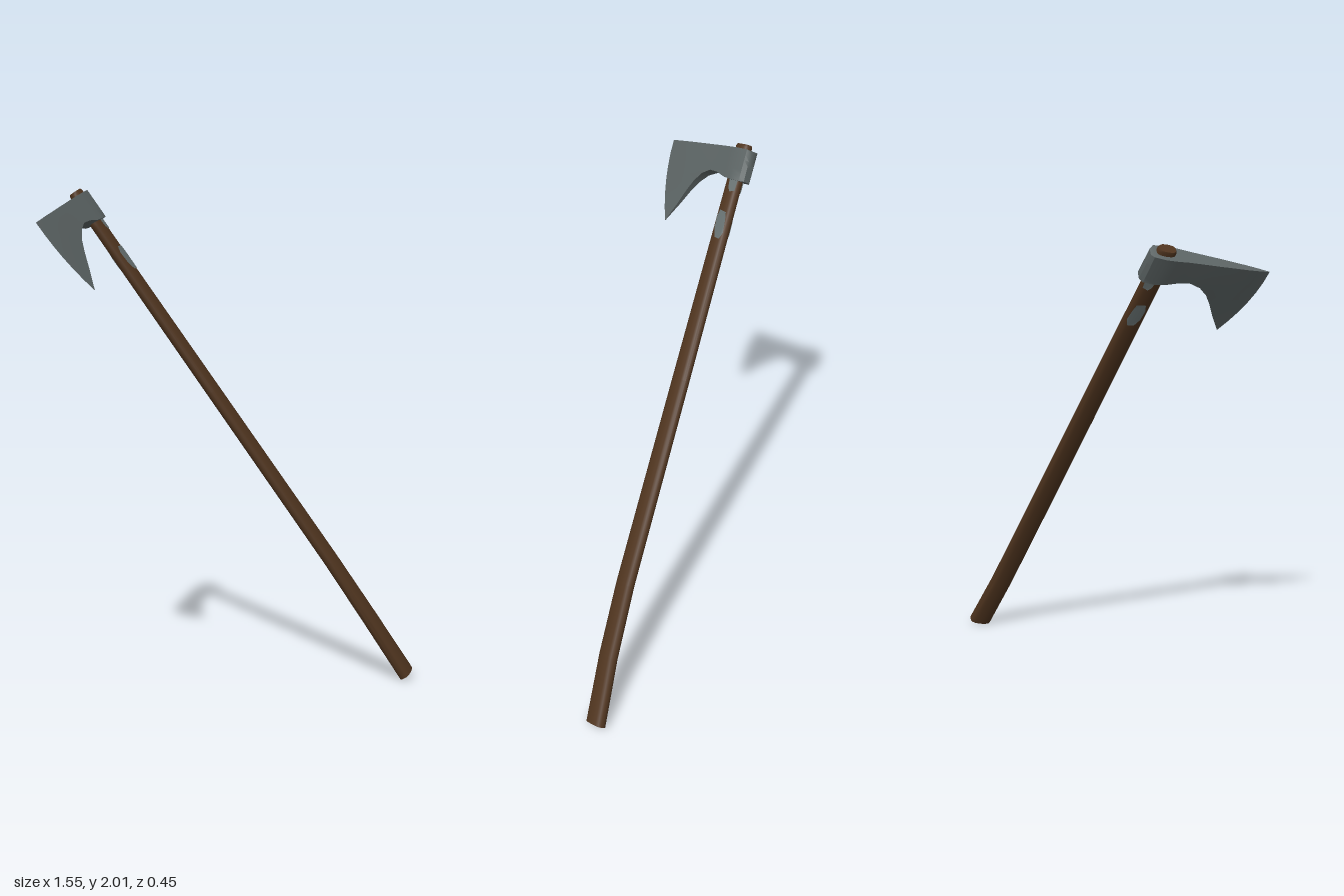
import * as THREE from 'three';
import { toCreasedNormals } from 'three/addons/utils/BufferGeometryUtils.js';

const flat = (name, color, side = THREE.FrontSide) => {
  const m = new THREE.MeshStandardMaterial({ color, side });
  m.name = name;
  return m;
};

// Skin a list of closed rings (each an array of [x, y, z]) and cap both ends.
function loft(rings, crease) {
  const n = rings[0].length, pos = [], idx = [];
  rings.forEach(r => r.forEach(p => pos.push(...p)));
  for (let i = 0; i < rings.length - 1; i++) {
    for (let j = 0; j < n; j++) {
      const k = (j + 1) % n, a = i * n + j, b = i * n + k;
      idx.push(a, b, b + n, a, b + n, a + n);
    }
  }
  [0, rings.length - 1].forEach((ri, end) => {
    const c = [0, 1, 2].map(q => rings[ri].reduce((s, p) => s + p[q], 0) / n);
    const ci = pos.length / 3;
    pos.push(...c);
    for (let j = 0; j < n; j++) {
      const a = ri * n + j, b = ri * n + (j + 1) % n;
      if (end) idx.push(ci, a, b); else idx.push(ci, b, a);
    }
  });
  const g = new THREE.BufferGeometry();
  g.setAttribute('position', new THREE.Float32BufferAttribute(pos, 3));
  g.setIndex(idx);
  return toCreasedNormals(g, crease);
}

// Handle oval, slightly squared so its broad sides are nearly flat.
const power = 0.75;
const soft = v => Math.sign(v) * Math.abs(v) ** power;

// Handle stations: height, centre x, centre z, half width, half thickness.
const handleStations = [
  [0.157, 0, 0, 0.032, 0.020],
  [0.148, 0, 0, 0.036, 0.023],
  [0.0, 0, 0, 0.036, 0.022],
  [-0.8, 0, 0, 0.041, 0.022],
  [-1.65, 0, 0, 0.044, 0.023],
  [-1.95, -0.006, 0.009, 0.045, 0.025],
  [-2.232, -0.022, 0.025, 0.047, 0.026],
];

function handleGeometry() {
  const sides = 16;
  return loft(handleStations.map(([y, cx, cz, a, b]) =>
    Array.from({ length: sides }, (_, j) => {
      const t = (j / sides) * Math.PI * 2;
      return [cx + a * soft(Math.cos(t)), y, cz + b * soft(Math.sin(t))];
    })), 0.8);
}

// Head stations, poll to edge: top x, top y, bottom x, bottom y, half thickness, outward bulge.
const headStations = [
  [-0.058, 0.132, -0.060, 0.012, 0.016, 0],
  [-0.046, 0.137, -0.046, 0.010, 0.031, 0],
  [0.0, 0.138, 0.0, 0.012, 0.037, 0],
  [0.045, 0.138, 0.035, 0.016, 0.034, 0],
  [0.09, 0.138, 0.085, 0.031, 0.029, 0],
  [0.15, 0.137, 0.13, 0.035, 0.025, 0],
  [0.21, 0.136, 0.175, 0.017, 0.021, 0.003],
  [0.27, 0.135, 0.214, -0.018, 0.016, 0.007],
  [0.32, 0.134, 0.246, -0.062, 0.012, 0.011],
  [0.365, 0.133, 0.281, -0.12, 0.007, 0.015],
  [0.407, 0.132, 0.333, -0.197, 0.001, 0.02],
];

function headGeometry() {
  const rows = 6;
  return loft(headStations.map(([tx, ty, bx, by, h, bulge]) => {
    const side = Array.from({ length: rows + 1 }, (_, i) => {
      const t = i / rows;
      return [tx + (bx - tx) * t + bulge * 4 * t * (1 - t), ty + (by - ty) * t];
    });
    return [
      ...side.map(([x, y]) => [x, y, h]),
      ...side.slice().reverse().map(([x, y]) => [x, y, -h]),
    ];
  }), 0.7);
}

// Thin metal patch draped on one broad side of the handle.
function patchGeometry(outline, sign) {
  const g = new THREE.ShapeGeometry(new THREE.Shape(outline.map(p => new THREE.Vector2(...p))));
  const p = g.attributes.position;
  for (let i = 0; i < p.count; i++) {
    const c = Math.min(1, Math.abs(p.getX(i)) / 0.038) ** (1 / power);
    p.setZ(i, sign * (0.0225 * Math.sqrt(1 - c * c) ** power + 0.0025));
  }
  g.computeVertexNormals();
  return g;
}

export function createModel() {
  const wood = flat('dark wood', 0x50351f);
  const steel = flat('grey steel', 0x5c6464);
  const inlay = flat('pale steel', 0x667070, THREE.DoubleSide);

  const axe = new THREE.Group();
  axe.name = 'axe';
  const add = (name, geometry, material) => {
    const mesh = new THREE.Mesh(geometry, material);
    mesh.name = name;
    axe.add(mesh);
    return mesh;
  };

  add('handle', handleGeometry(), wood);
  add('axeHead', headGeometry(), steel).position.z = 0.004;

  // Worn plates below the head, mirrored on both sides.
  const upper = [[-0.032, 0.014], [0.006, 0.014], [0.002, -0.02], [-0.01, -0.036], [-0.03, -0.03]];
  const lower = [[-0.02, -0.118], [0.012, -0.112], [0.022, -0.14], [0.018, -0.19],
    [0.004, -0.222], [-0.02, -0.226], [-0.03, -0.2], [-0.026, -0.15]];
  for (const sign of [1, -1]) {
    add('upperPlate', patchGeometry(upper, sign), inlay);
    add('lowerPlate', patchGeometry(lower, sign), inlay);
  }

  // Lean the axe: local y runs up the handle, local x points to the cutting edge.
  const up = new THREE.Vector3(-0.544, 0.823, -0.1615).normalize();
  const edge = new THREE.Vector3(-0.5625, -0.22, 0.7975);
  edge.addScaledVector(up, -edge.dot(up)).normalize();
  const across = new THREE.Vector3().crossVectors(edge, up);
  axe.quaternion.setFromRotationMatrix(new THREE.Matrix4().makeBasis(edge, up, across));
  axe.position.set(-0.47, 1.86, -0.147);

  const model = new THREE.Group();
  model.name = 'leaningAxe';
  model.add(axe);
  return model;
}
